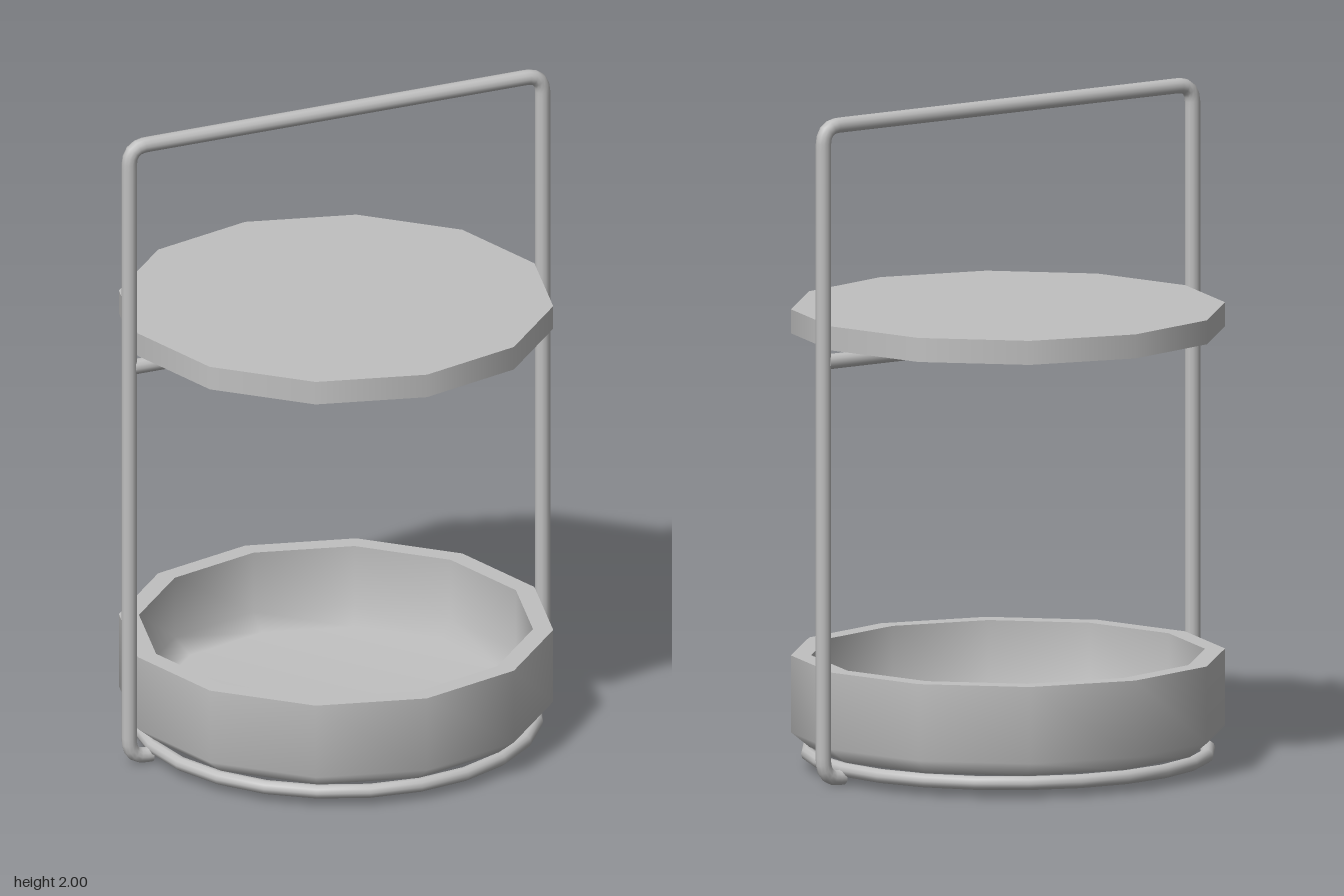
import * as THREE from 'three';

export function createModel() {
  const group = new THREE.Group();
  const metal = new THREE.MeshStandardMaterial({ color: 0xc0c0c0 });
  metal.name = 'light grey metal';

  const add = (name, geometry, parent = group) => {
    const mesh = new THREE.Mesh(geometry, metal);
    mesh.name = name;
    parent.add(mesh);
    return mesh;
  };
  const v = (x, y) => new THREE.Vector3(x, y, 0);
  const SIDES = 12, WIRE = 0.023;

  // Bowl: separate profile runs keep the rim and base edges sharp
  const bowl = new THREE.Group();
  bowl.name = 'bowl';
  group.add(bowl);
  const runs = {
    bowlBase: [[0, 0.065], [0.59, 0.065]],
    bowlOuterWall: [[0.59, 0.065], [0.645, 0.11], [0.645, 0.34]],
    bowlRim: [[0.645, 0.34], [0.585, 0.34]],
    bowlInside: [[0.585, 0.34], [0.585, 0.15], [0.53, 0.105], [0, 0.105]],
  };
  for (const [name, points] of Object.entries(runs)) {
    add(name, new THREE.LatheGeometry(points.map(p => new THREE.Vector2(...p)), SIDES), bowl);
  }

  // Upper tray
  add('upperTray', new THREE.CylinderGeometry(0.645, 0.645, 0.072, SIDES)).position.y = 1.341;

  // Bent wire frame with rounded corners and inward-turned feet
  const X = 0.672, TOP = 1.977, LOW = 0.023, R = 0.055;
  const corners = [v(-0.6, LOW), v(-X, LOW), v(-X, TOP), v(X, TOP), v(X, LOW), v(0.6, LOW)];
  const path = new THREE.CurvePath();
  let from = corners[0];
  for (let i = 1; i < corners.length - 1; i++) {
    const c = corners[i];
    const toward = other => other.clone().sub(c).setLength(R).add(c);
    const a = toward(corners[i - 1]), b = toward(corners[i + 1]);
    path.add(new THREE.LineCurve3(from, a));
    path.add(new THREE.QuadraticBezierCurve3(a, c, b));
    from = b;
  }
  path.add(new THREE.LineCurve3(from, corners[5]));
  add('handleFrame', new THREE.TubeGeometry(path, 280, WIRE, 12));

  // Foot end caps
  for (const side of [-1, 1]) {
    const cap = add('frameEndCap', new THREE.CircleGeometry(WIRE, 12));
    cap.position.set(side * 0.6, LOW, 0);
    cap.rotation.y = -side * Math.PI / 2;
  }

  // Crossbar under the tray
  const bar = add('crossbar', new THREE.CylinderGeometry(WIRE, WIRE, 1.32, 12));
  bar.rotation.z = Math.PI / 2;
  bar.position.y = 1.272;

  // Base ring
  const ring = add('baseRing', new THREE.TorusGeometry(0.594, 0.021, 10, 24));
  ring.rotation.x = Math.PI / 2;
  ring.position.y = 0.044;

  return group;
}
